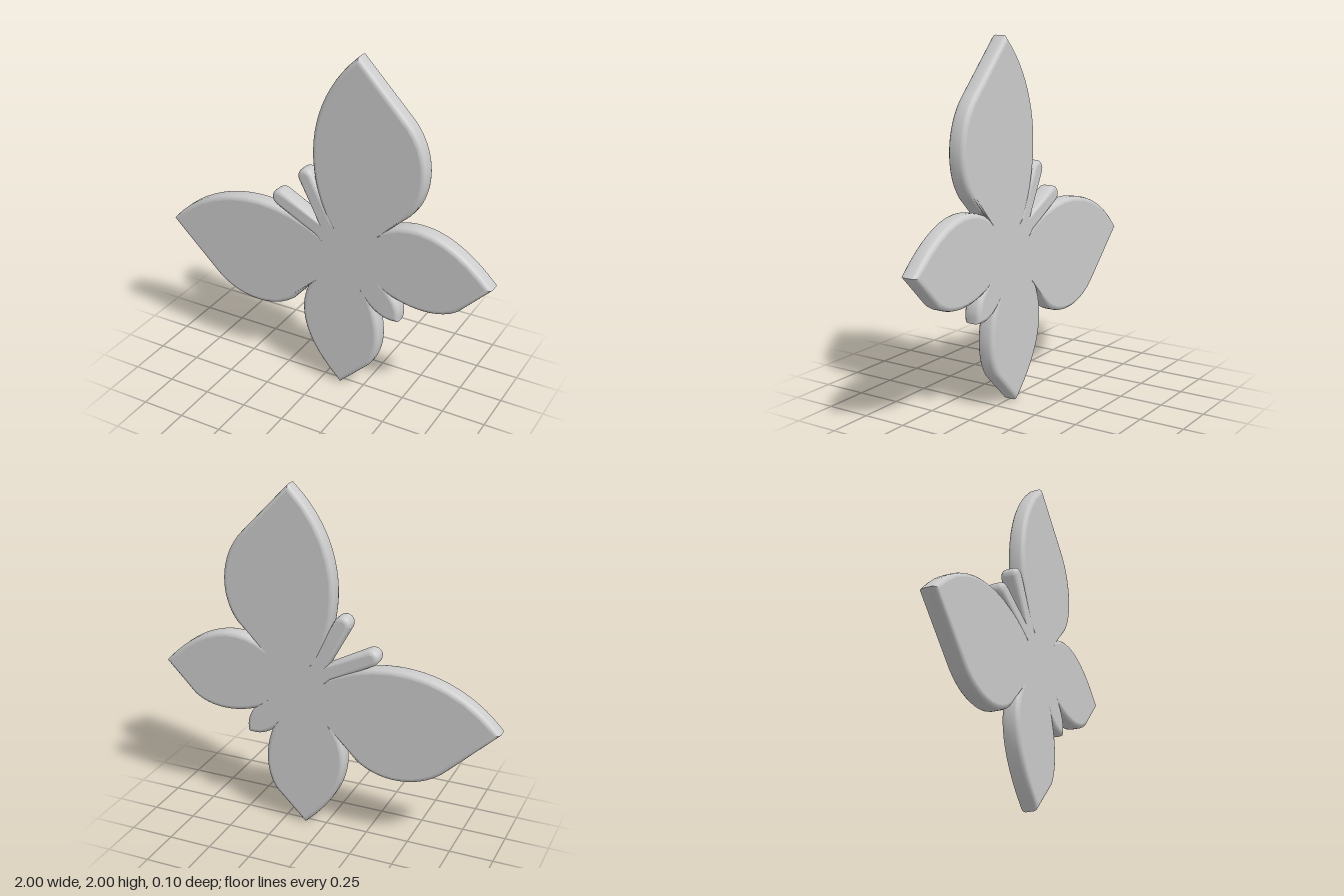
import * as THREE from 'three';
import { toCreasedNormals } from 'three/addons/utils/BufferGeometryUtils.js';

const DEPTH = 0.1, BEVEL = 0.025;
const AXIS = 0.995; // the body lies on the line x + y = AXIS

// Half of the outline, from the notch between the feelers to the tail tip
function halfOutline() {
  const p = new THREE.Path();
  p.moveTo(0, AXIS);
  // feeler
  p.lineTo(-0.125, 1.255);
  p.bezierCurveTo(-0.135, 1.285, -0.105, 1.3, -0.085, 1.275);
  p.lineTo(0.045, 1.03);
  p.lineTo(0.09, 0.99);
  // upper wing
  p.bezierCurveTo(-0.1, 1.3, -0.08, 1.7, 0.205, 1.964);
  p.lineTo(0.47, 1.69);
  p.bezierCurveTo(0.605, 1.55, 0.605, 1.32, 0.5, 1.2);
  p.lineTo(0.335, 1.02);
  // lower wing
  p.bezierCurveTo(0.5, 1.14, 0.72, 1.13, 0.96, 0.878);
  p.lineTo(0.8, 0.715);
  p.bezierCurveTo(0.7, 0.64, 0.5, 0.64, 0.32, 0.755);
  // tail
  p.bezierCurveTo(0.41, 0.68, 0.46, 0.62, 0.45, AXIS - 0.45);
  return p.getPoints(20);
}

export function createModel() {
  const half = halfOutline();
  const mirrored = half.slice(1, -1).reverse()
    .map(v => new THREE.Vector2(AXIS - v.y, AXIS - v.x));

  // Rounded slab
  let geo = new THREE.ExtrudeGeometry(new THREE.Shape([...half, ...mirrored]), {
    depth: DEPTH - 2 * BEVEL, bevelEnabled: true,
    bevelThickness: BEVEL, bevelSize: BEVEL, bevelSegments: 3,
  });
  geo.translate(0, 0, BEVEL - DEPTH / 2);
  geo = toCreasedNormals(geo, 0.65);

  // Keep the front and back faces flat
  const pos = geo.attributes.position, nor = geo.attributes.normal;
  for (let i = 0; i < pos.count; i += 3) {
    const z = [0, 1, 2].map(k => pos.getZ(i + k));
    if (z.every(v => Math.abs(v - z[0]) < 1e-5 && Math.abs(v) > DEPTH / 2 - 1e-4)) {
      for (let k = 0; k < 3; k++) nor.setXYZ(i + k, 0, 0, Math.sign(z[0]));
    }
  }

  const butterfly = new THREE.Mesh(geo, new THREE.MeshStandardMaterial({ color: 0xcccccc }));
  butterfly.name = 'butterfly';
  const group = new THREE.Group();
  group.name = 'butterflyOrnament';
  group.add(butterfly);
  return group;
}
